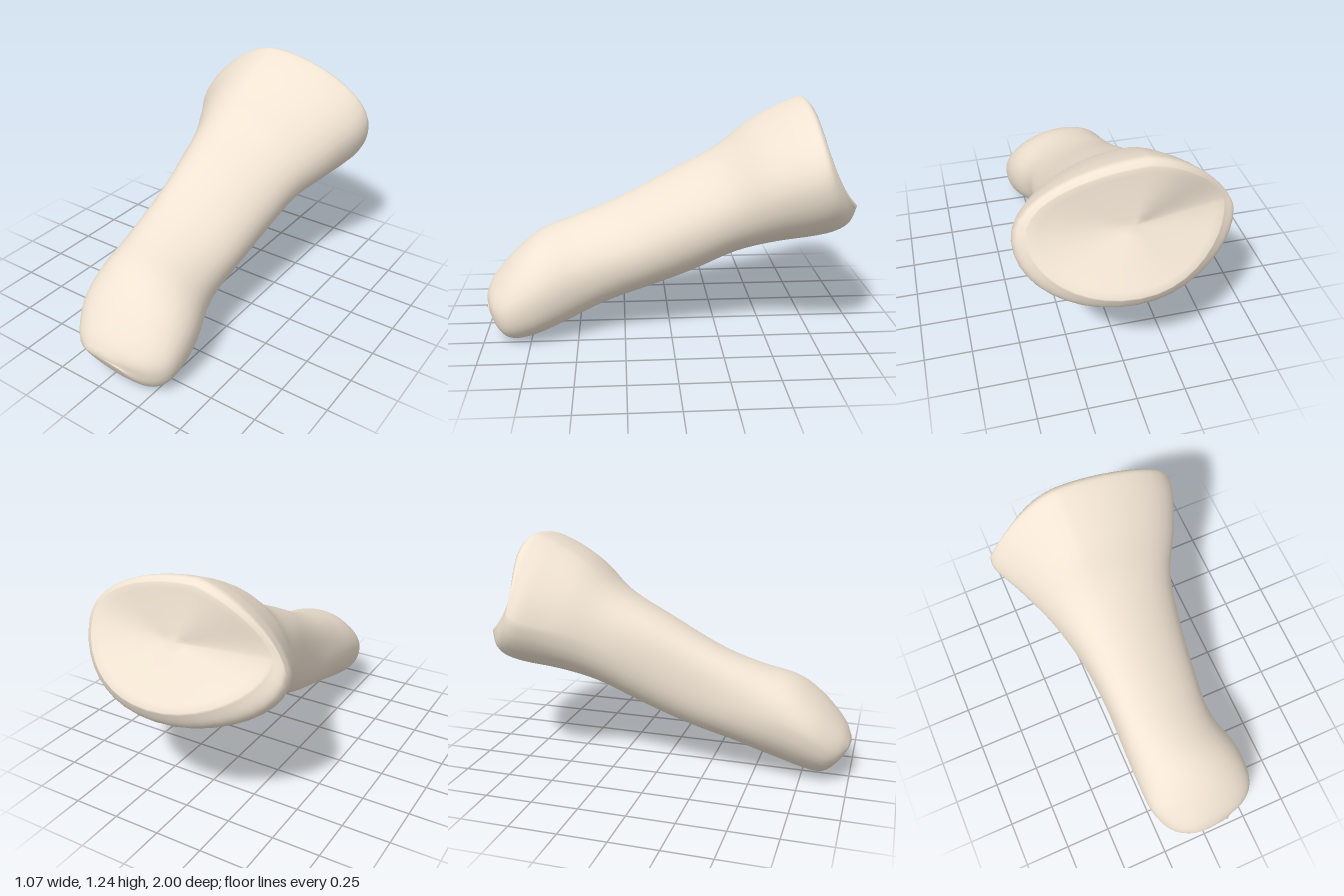
import * as THREE from 'three';

// Cross-sections from the rounded head (front) to the flared base (back):
// right x, left x, top z, top y, bottom z, bottom y
const SECTIONS = [
  [-0.07, 0.09, 0.995, 0.22, 0.99, 0.165],
  [-0.15, 0.24, 0.965, 0.28, 0.935, 0.07],
  [-0.21, 0.325, 0.90, 0.36, 0.86, 0.004],
  [-0.25, 0.35, 0.81, 0.45, 0.75, 0.012],
  [-0.26, 0.335, 0.69, 0.535, 0.58, 0.07],
  [-0.26, 0.27, 0.50, 0.60, 0.36, 0.155],
  [-0.26, 0.28, 0.28, 0.685, 0.10, 0.24],
  [-0.29, 0.305, 0, 0.83, -0.12, 0.325],
  [-0.36, 0.35, -0.25, 0.96, -0.35, 0.435],
  [-0.45, 0.45, -0.42, 1.10, -0.55, 0.495],
  [-0.53, 0.515, -0.56, 1.18, -0.75, 0.53],
  [-0.535, 0.53, -0.66, 1.225, -0.88, 0.56],
  [-0.515, 0.515, -0.72, 1.24, -0.96, 0.61],
  [-0.47, 0.47, -0.755, 1.215, -1, 0.69],
];
const LAST = SECTIONS.length - 1, SIDES = 40, STEPS = 4;
const { smoothstep, lerp } = THREE.MathUtils;

// Smoothly interpolated section at a fractional index
function sectionAt(u) {
  const i = Math.min(Math.floor(u), LAST - 1), t = u - i;
  const at = k => SECTIONS[Math.max(0, Math.min(LAST, k))];
  return SECTIONS[0].map((_, k) => {
    const [a, b, c, d] = [at(i - 1)[k], at(i)[k], at(i + 1)[k], at(i + 2)[k]];
    return b + 0.5 * t * (c - a + t * (2 * a - 5 * b + 4 * c - d + t * (3 * (b - c) + d - a)));
  });
}

// Closed, lopsided rounded loop of points
function ring(u) {
  const [xr, xl, zt, yt, zb, yb] = sectionAt(u);
  const mid = (xr + xl) / 2, half = (xl - xr) / 2;
  const shaft = smoothstep(u, 3, 6), flare = smoothstep(u, 7, 10);
  const crest = -0.09 * shaft;                                 // shaft ridge leans right
  const keel = 0.12 - 0.11 * shaft;                            // underside of the head leans left
  const rightHeight = 0.5 + 0.13 * Math.exp(-((u - 3) ** 2) / 3) - 0.04 * flare;
  const leftHeight = 0.46 + 0.04 * flare;
  const bow = smoothstep(u, 9, LAST);                          // sides of the base rim bow forward
  return Array.from({ length: SIDES }, (_, j) => {
    const a = (j / SIDES) * Math.PI * 2;
    const cos = Math.cos(a), sin = Math.sin(a);
    const upper = cos < 0 ? 1 + 0.35 * flare : 1;              // upper right of the base is sloped off
    const soft = v => Math.sign(v) * Math.abs(v) ** (sin < 0 ? 0.94 : upper);
    const c = soft(cos), s = soft(sin);
    const x = mid + c * half + ((s > 0 ? crest : keel) - mid) * s * s;
    const f = lerp(rightHeight, leftHeight, (c + 1) / 2);
    const t = f + s * (s > 0 ? 1 - f : f);
    const recess = bow * c * c * (c < 0 ? 0.17 : 0.09);
    return new THREE.Vector3(x, lerp(yb, yt, t), lerp(zb, zt, t) + recess);
  });
}

function boneGeometry() {
  const rings = [];
  for (let i = 0; i <= LAST * STEPS; i++) rings.push(ring(i / STEPS));

  // Shallow joint face closing the base
  const rim = rings[rings.length - 1];
  const centre = rim.reduce((sum, p) => sum.add(p), new THREE.Vector3()).divideScalar(SIDES);
  for (const scale of [0.9, 0.7, 0.4, 0.15]) {
    rings.push(rim.map(p => {
      const q = centre.clone().lerp(p, scale);
      q.z += 0.015 * (1 - scale * scale);
      return q;
    }));
  }
  centre.z += 0.015;

  const points = rings.flat();
  const tip = points.push(new THREE.Vector3(0.01, 0.195, 1)) - 1;
  const hollow = points.push(centre) - 1;
  const index = [];
  const end = (rings.length - 1) * SIDES;
  for (let j = 0; j < SIDES; j++) {
    const k = (j + 1) % SIDES;
    for (let o = 0; o < end; o += SIDES) {
      index.push(o + j, o + SIDES + j, o + k, o + k, o + SIDES + j, o + SIDES + k);
    }
    index.push(tip, j, k, hollow, end + k, end + j);
  }
  const geometry = new THREE.BufferGeometry().setFromPoints(points);
  geometry.setIndex(index);
  geometry.computeVertexNormals();
  return geometry;
}

export function createModel() {
  const group = new THREE.Group();
  group.name = 'footBone';
  const bone = new THREE.Mesh(boneGeometry(), new THREE.MeshStandardMaterial({ color: 0xf0e3d2 }));
  bone.name = 'bone';
  group.add(bone);
  return group;
}
